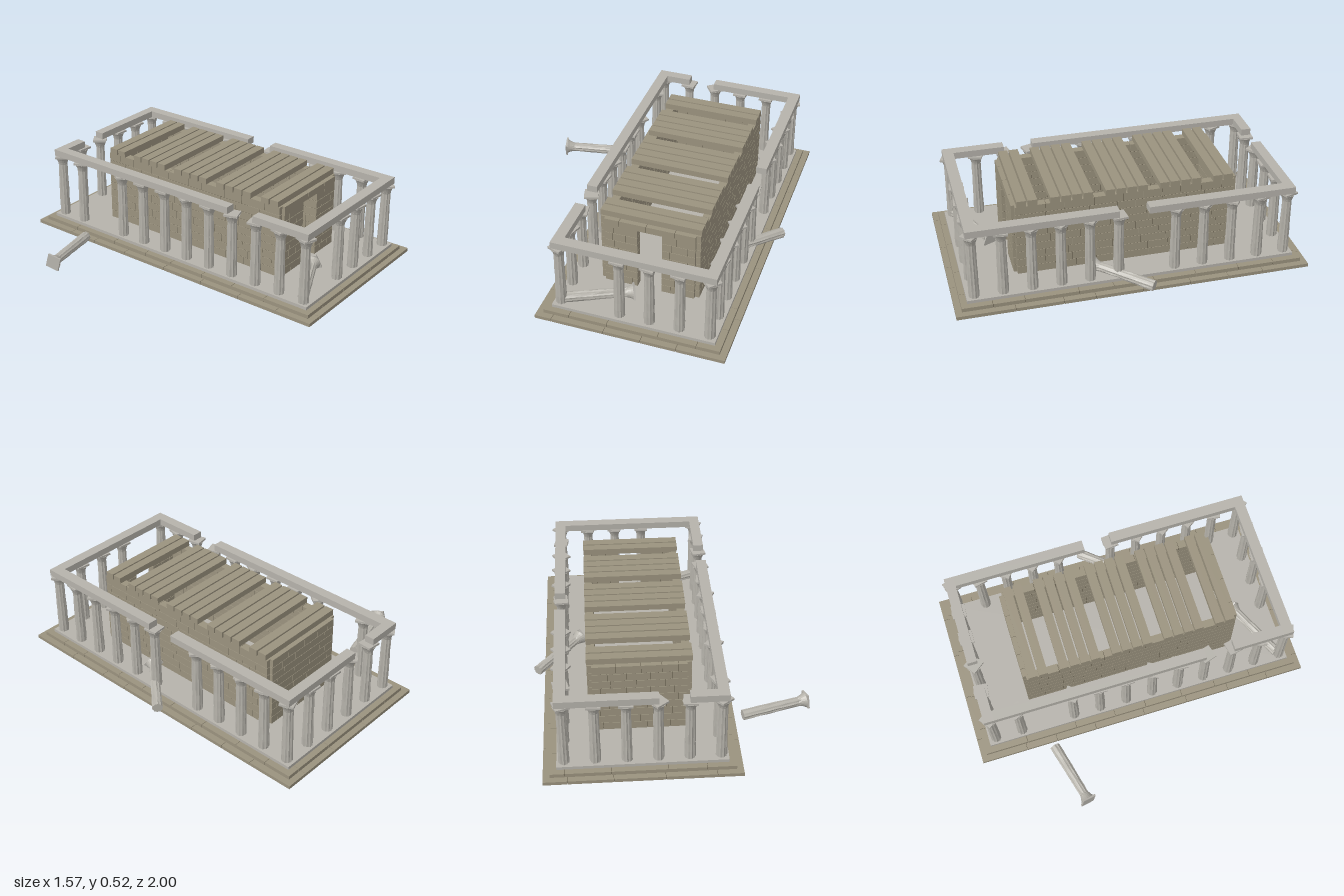
import * as THREE from 'three';
import { mergeGeometries } from 'three/addons/utils/BufferGeometryUtils.js';

export function createModel() {
  const model = new THREE.Group();
  const mat = (name, color, flatShading = false) =>
    Object.assign(new THREE.MeshStandardMaterial({ color, flatShading }), { name });
  const marble = mat('pale marble', 0xb5b2ab);
  const fluted = mat('column marble', 0xb5b2aa, true);
  const sandstone = mat('sandstone', 0x9a927e);
  const mortar = mat('dark joint', 0x5c5545);

  let seed = 7;
  const rand = () => {
    seed = (seed * 16807) % 2147483647;
    return seed / 2147483647;
  };

  const add = (name, geometry, material, parent = model) => {
    const mesh = new THREE.Mesh(geometry, material);
    mesh.name = name;
    parent.add(mesh);
    return mesh;
  };
  // Box given by its low and high corners
  const block = (x0, x1, y0, y1, z0, z1) =>
    new THREE.BoxGeometry(x1 - x0, y1 - y0, z1 - z0)
      .translate((x0 + x1) / 2, (y0 + y1) / 2, (z0 + z1) / 2);

  // Masonry: courses of uneven blocks along x or z, over a slightly thinner core
  const GAP = 0.0025;
  function masonry(name, x0, x1, y0, y1, z0, z1, courses, size) {
    const alongX = x1 - x0 > z1 - z0;
    const [start, end] = alongX ? [x0, x1] : [z0, z1];
    const h = (y1 - y0) / courses;
    const bricks = [];
    for (let c = 0; c < courses; c++) {
      const low = y0 + c * h;
      let at = start;
      let next = start + size * (0.4 + 0.6 * rand());
      while (at < end - 1e-6) {
        if (next > end - size * 0.3) next = end;
        const a = at === start ? at : at + GAP / 2;
        const b = next === end ? next : next - GAP / 2;
        const top = c === courses - 1 ? y1 : low + h - GAP;
        bricks.push(alongX ? block(a, b, low, top, z0, z1) : block(x0, x1, low, top, a, b));
        at = next;
        next = at + size * (0.7 + 0.6 * rand());
      }
    }
    add(name, mergeGeometries(bricks), sandstone);
    const i = 0.003;
    add(name + 'Joints', block(x0 + i, x1 - i, y0 + i, y1 - i, z0 + i, z1 - i), mortar);
  }

  // Stepped platform: two sandstone steps and a marble floor
  const CX = 0.178;
  const step = (name, hx, hz, y0, y1, w) => {
    masonry(name + 'Front', CX - hx, CX + hx, y0, y1, hz - w, hz, 1, 0.24);
    masonry(name + 'Back', CX - hx, CX + hx, y0, y1, -hz, w - hz, 1, 0.24);
    masonry(name + 'Left', CX + hx - w, CX + hx, y0, y1, w - hz, hz - w, 1, 0.24);
    masonry(name + 'Right', CX - hx, CX - hx + w, y0, y1, w - hz, hz - w, 1, 0.24);
    add(name + 'Core', block(CX - hx + w, CX + hx - w, y0, y1, w - hz, hz - w), sandstone);
  };
  step('lowerStep', 0.537, 1, 0, 0.02, 0.06);
  step('upperStep', 0.5, 0.965, 0.02, 0.042, 0.06);
  add('floor', block(CX - 0.463, CX + 0.463, 0.042, 0.06, -0.93, 0.93), marble);

  // Weathered column: a fluted shaft flaring into a capital under a square slab
  const profile = [
    [0, 0.031], [0.05, 0.031], [0.1, 0.03], [0.15, 0.03], [0.2, 0.029], [0.25, 0.0285],
    [0.3, 0.028], [0.335, 0.0275], [0.35, 0.03], [0.365, 0.036], [0.379, 0.044],
  ];
  function columnGeometry() {
    const sides = 20;
    const points = [[0, 0], ...profile, [0.379, 0]].map(([y, r]) => new THREE.Vector2(r, y));
    // The profile pairs are height then radius, the end caps lie on the axis
    points[0].set(0, 0);
    points[points.length - 1].set(0, 0.379);
    const g = new THREE.LatheGeometry(points, sides);
    const p = g.attributes.position;
    const rows = points.length;
    const wear = Array.from({ length: sides * rows }, () => rand());
    for (let i = 0; i < p.count; i++) {
      const side = Math.floor(i / rows) % sides;
      const row = i % rows;
      const onShaft = row > 0 && row < rows - 4;
      const k = onShaft ? (side % 2 ? 0.92 : 1.03) - 0.09 * wear[side * rows + row] : 1;
      p.setX(i, p.getX(i) * k);
      p.setZ(i, p.getZ(i) * k);
    }
    g.computeVertexNormals();
    return g;
  }
  const variants = [0, 1, 2, 3].map(columnGeometry);
  const slab = new THREE.BoxGeometry(0.08, 0.012, 0.08).translate(0, 0.384, 0);
  function column(name) {
    const g = new THREE.Group();
    g.name = name;
    add('shaft', variants[Math.floor(rand() * 4)], fluted, g);
    add('capitalSlab', slab, marble, g);
    model.add(g);
    return g;
  }
  const stand = (x, z) => {
    const c = column('column');
    c.position.set(x, 0.06, z);
    c.rotation.y = rand() * Math.PI * 2;
  };

  // Colonnade of 6 by 12, with a few columns missing
  const colX = (i) => -0.245 + i * 0.169;
  const colZ = (i) => 0.886 - i * 0.161;
  for (let i = 0; i < 6; i++) {
    if (i !== 1) stand(colX(i), colZ(0));
    stand(colX(i), colZ(11));
  }
  for (let i = 1; i < 11; i++) {
    if (i !== 6) stand(colX(5), colZ(i));
    if (i !== 9) stand(colX(0), colZ(i));
  }

  // Fallen columns, from foot to capital
  const lay = (foot, head) => {
    const c = column('fallenColumn');
    const a = new THREE.Vector3(...foot);
    const dir = new THREE.Vector3(...head).sub(a).normalize();
    c.position.copy(a);
    c.quaternion.setFromUnitVectors(new THREE.Vector3(0, 1, 0), dir);
  };
  lay([-0.4, 0.058, -0.568], [-0.78, 0.073, -0.472]);
  lay([0.755, 0.06, -0.08], [0.5, 0.085, 0.21]);
  lay([-0.235, 0.08, 0.875], [0.11, 0.085, 0.715]);

  // Broken ring of beams on the columns
  const beam = (x0, x1, z0, z1) => add('beam', block(x0, x1, 0.45, 0.49, z0, z1), marble);
  beam(-0.278, 0.635, 0.855, 0.917);
  beam(-0.278, -0.072, -0.917, -0.86);
  beam(0.09, 0.635, -0.917, -0.86);
  beam(-0.278, -0.218, -0.86, 0.39);
  beam(-0.278, -0.218, 0.56, 0.855);
  beam(0.573, 0.635, 0.085, 0.855);
  beam(0.573, 0.635, -0.86, -0.08);

  // Inner chamber with a doorway at the front
  masonry('chamberRightWall', -0.105, -0.06, 0.06, 0.49, -0.62, 0.62, 9, 0.13);
  masonry('chamberLeftWall', 0.415, 0.46, 0.06, 0.49, -0.62, 0.62, 9, 0.13);
  masonry('chamberBackWall', -0.08, 0.435, 0.06, 0.49, -0.638, -0.593, 9, 0.12);
  masonry('doorSideRight', -0.08, 0.108, 0.06, 0.45, 0.593, 0.638, 8, 0.1);
  masonry('doorSideLeft', 0.248, 0.435, 0.06, 0.45, 0.593, 0.638, 8, 0.1);
  masonry('doorLintel', -0.08, 0.435, 0.45, 0.49, 0.593, 0.638, 1, 0.2);

  // Roof slabs with gaps where some are lost
  for (let i = 0; i < 20; i++) {
    if ([2, 7, 12, 17].includes(i)) continue;
    const z = -0.584 + i * 0.0615;
    add('roofSlab', block(-0.11, 0.462, 0.49, 0.525, z - 0.026, z + 0.026), sandstone);
  }
  return model;
}
